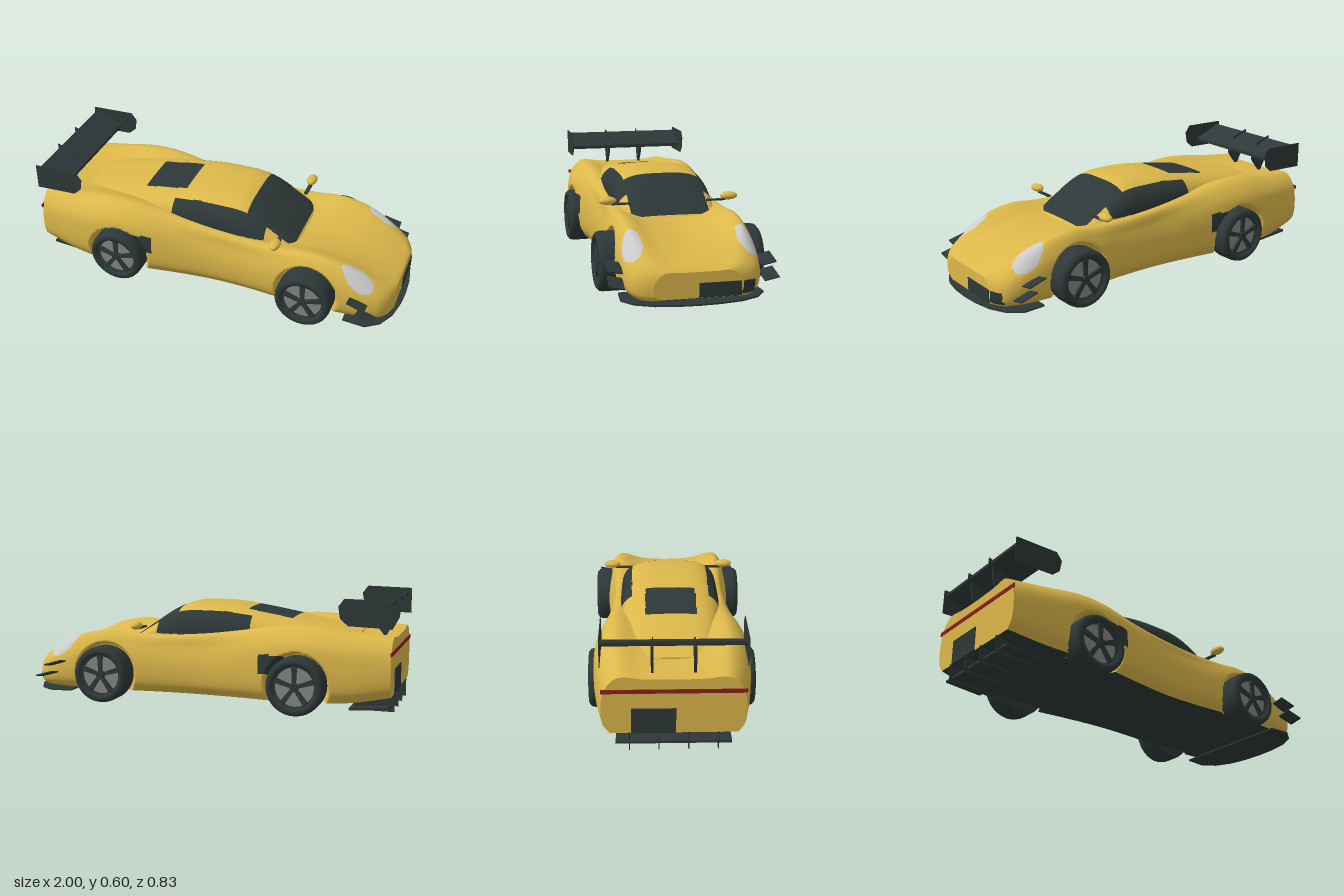
import * as THREE from 'three';

const mat = (name, color, side = THREE.FrontSide) => {
  const m = new THREE.MeshStandardMaterial({ color, side });
  m.name = name;
  return m;
};
const yellow = mat('yellow paint', 0xdcb84a);
const dark = mat('dark trim', 0x2e3838, THREE.DoubleSide);
const lamp = mat('lamp grey', 0xcccccc);
const metal = mat('wheel metal', 0x858585);
const red = mat('red lamp', 0x8c1f22);
const PAINTS = [yellow, dark, lamp];
const { lerp, smoothstep } = THREE.MathUtils;

const AXLES = [-0.525, 0.535], HUB_Y = 0.152;

function mesh(parent, name, geometry, material, x = 0, y = 0, z = 0) {
  const m = new THREE.Mesh(geometry, material);
  m.name = name;
  m.position.set(x, y, z);
  parent.add(m);
  return m;
}

// Thin plate drawn in side view (x, y) and centred on z
function plate(parent, name, pts, z, depth, material) {
  const shape = new THREE.Shape(pts.map(p => new THREE.Vector2(...p)));
  const g = new THREE.ExtrudeGeometry(shape, { depth, bevelEnabled: false });
  return mesh(parent, name, g, material, 0, 0, z - depth / 2);
}

// Smooth table lookup: the first column is x
function table(rows) {
  const size = rows[0].length - 1;
  const f = new THREE.CubicInterpolant(rows.map(r => r[0]), rows.flatMap(r => r.slice(1)), size, new Float32Array(size));
  return x => Array.from(f.evaluate(x));
}

// Skin over arches running from +z over the top to -z; paint() picks a colour per panel
function loft(rings, paint) {
  const n = rings[0].length, pos = rings.flat(2), buckets = PAINTS.map(() => []);
  for (let i = 0; i < rings.length - 1; i++) {
    for (let j = 0; j < n - 1; j++) {
      const a = i * n + j, b = a + n, c = b + 1, d = a + 1;
      const [x, y, z] = [0, 1, 2].map(k => (pos[a * 3 + k] + pos[b * 3 + k] + pos[c * 3 + k] + pos[d * 3 + k]) / 4);
      buckets[paint(x, y, z)].push(a, b, c, a, c, d);
    }
  }
  const g = new THREE.BufferGeometry();
  g.setAttribute('position', new THREE.Float32BufferAttribute(pos, 3));
  g.setIndex(buckets.flat());
  let start = 0;
  buckets.forEach((b, k) => { g.addGroup(start, b.length, k); start += b.length; });
  g.computeVertexNormals();
  return g;
}

// Flat end closing an arch
function cap(ring, front) {
  const ys = ring.map(p => p[1]);
  const c = [ring[0][0], (Math.min(...ys) + Math.max(...ys)) / 2, 0];
  const pos = [];
  ring.forEach((p, j) => {
    const q = ring[(j + 1) % ring.length];
    pos.push(...c, ...(front ? q : p), ...(front ? p : q));
  });
  const g = new THREE.BufferGeometry();
  g.setAttribute('position', new THREE.Float32BufferAttribute(pos, 3));
  g.computeVertexNormals();
  return g;
}

const stations = (a, b, step) => {
  const n = Math.round((b - a) / step);
  return Array.from({ length: n + 1 }, (_, i) => a + (b - a) * i / n);
};

// x, floor y, half width, fender peak z, fender peak y, centre y
const bodyAt = table([
  [-0.995, 0.11, 0.34, 0.26, 0.4, 0.39], [-0.8, 0.078, 0.372, 0.275, 0.42, 0.395],
  [-0.6, 0.068, 0.39, 0.285, 0.447, 0.4], [-0.45, 0.064, 0.382, 0.285, 0.447, 0.4],
  [-0.2, 0.062, 0.348, 0.285, 0.402, 0.39], [0, 0.06, 0.328, 0.285, 0.376, 0.36],
  [0.2, 0.06, 0.33, 0.285, 0.362, 0.34], [0.4, 0.06, 0.345, 0.285, 0.364, 0.325],
  [0.55, 0.06, 0.352, 0.285, 0.375, 0.315], [0.7, 0.06, 0.347, 0.28, 0.347, 0.292],
  [0.8, 0.06, 0.338, 0.265, 0.302, 0.264], [0.88, 0.061, 0.322, 0.24, 0.254, 0.236],
  [0.93, 0.062, 0.295, 0.215, 0.224, 0.216], [0.96, 0.065, 0.25, 0.18, 0.205, 0.203],
  [0.972, 0.07, 0.215, 0.16, 0.195, 0.195],
]);

function bodyRing(x) {
  const [yb, w, fz, fy, cy] = bodyAt(x);
  const half = [[w - 0.04, yb], [w - 0.008, yb + (fy - yb) * 0.16], [w, lerp(yb, fy, 0.5)],
    [w - 0.02, lerp(yb, fy, 0.8)], [fz, fy], [fz * 0.55, lerp(fy, cy, 0.65)]];
  const pts = [...half, [0, cy], ...half.slice().reverse().map(([z, y]) => [-z, y])];
  const curve = new THREE.CatmullRomCurve3(pts.map(([z, y]) => new THREE.Vector3(0, y, z)));
  return curve.getPoints(144).map(p => {
    // Sink the flanks into wheel arches
    let z = p.z;
    for (const ax of AXLES) {
      const k = 1 - smoothstep(Math.hypot(x - ax, p.y - HUB_Y), 0.155, 0.172);
      z = lerp(z, Math.sign(z) * Math.min(Math.abs(z), 0.29), k);
    }
    return [x, p.y, z];
  });
}

function bodyPaint(x, y, z) {
  const az = Math.abs(z);
  if (y > 0.2 && ((x - 0.79) / 0.085) ** 2 + ((az - 0.278) / 0.048) ** 2 < 1) return 2;
  if (x > -0.45 && x < -0.33 && y > 0.2 && y < 0.305) return 1;
  if (x > 0.88 && z < -0.21 && z > -0.28 && y > 0.075 && y < 0.14) return 1;
  return 0;
}

// x, half width, base y, roof y
const cabinAt = table([
  [-0.8, 0.17, 0.37, 0.402], [-0.6, 0.215, 0.37, 0.44], [-0.4, 0.245, 0.37, 0.478],
  [-0.2, 0.26, 0.365, 0.511], [-0.1, 0.262, 0.36, 0.524], [0, 0.262, 0.355, 0.528],
  [0.13, 0.26, 0.35, 0.521], [0.2, 0.258, 0.345, 0.495], [0.3, 0.25, 0.335, 0.429],
  [0.4, 0.235, 0.315, 0.357], [0.435, 0.22, 0.305, 0.328],
]);

function cabinRing(x) {
  const [w, yb, yt] = cabinAt(x);
  return Array.from({ length: 121 }, (_, j) => {
    const a = Math.PI * j / 120, c = Math.cos(a);
    return [x, yb + (yt - yb) * Math.abs(Math.sin(a)) ** 0.75, w * Math.sign(c) * Math.abs(c) ** 0.6];
  });
}

function cabinPaint(x, y, z) {
  const az = Math.abs(z);
  if (x > 0.16 && x < 0.42 && az < 0.205) return 1;
  if (x > -0.25 && x < 0.27 && az > 0.2 && y > 0.37 && y < 0.495) return 1;
  if (x > -0.45 && x < -0.21 && az < 0.13) return 1;
  return 0;
}

function makeWheel() {
  const wheel = new THREE.Group();
  const profile = [[0, -0.05], [0.1, -0.058], [0.132, -0.07], [0.146, -0.058], [0.15, -0.04], [0.15, 0.04],
    [0.146, 0.058], [0.132, 0.07], [0.112, 0.068], [0.104, 0.04], [0, 0.04]];
  const lathe = new THREE.LatheGeometry(profile.map(p => new THREE.Vector2(...p)), 48).rotateX(Math.PI / 2);
  mesh(wheel, 'tyre', lathe, dark);
  mesh(wheel, 'wheelDisc', new THREE.CircleGeometry(0.1, 40), metal, 0, 0, 0.043);
  mesh(wheel, 'hub', new THREE.CylinderGeometry(0.02, 0.024, 0.02, 20).rotateX(Math.PI / 2), dark, 0, 0, 0.054);
  for (let k = 0; k < 5; k++) {
    const spoke = plate(wheel, 'spoke', [[-0.008, 0], [0.008, 0], [0.014, 0.106], [-0.014, 0.106]], 0.052, 0.014, dark);
    spoke.rotation.z = k * Math.PI * 2 / 5;
  }
  return wheel;
}

export function createModel() {
  const car = new THREE.Group();
  car.name = 'racingCar';

  // Body, floor and end faces
  const rings = stations(-0.995, 0.972, 0.01).map(bodyRing);
  mesh(car, 'body', loft(rings, bodyPaint), PAINTS);
  const floor = rings.map(r => [r[r.length - 1], r[0]]);
  mesh(car, 'floor', loft(floor, () => 1), PAINTS);
  mesh(car, 'noseFace', cap(rings[rings.length - 1], true), yellow);
  mesh(car, 'tailFace', cap(rings[0], false), yellow);

  // Cabin with windows and roof vent
  const cabin = stations(-0.8, 0.43, 0.01).map(cabinRing);
  mesh(car, 'cabin', loft(cabin, cabinPaint), PAINTS);
  mesh(car, 'cabinTail', cap(cabin[0], false), yellow);

  // Painted panels on nose and tail
  mesh(car, 'nosePanel', new THREE.BoxGeometry(0.006, 0.07, 0.205), dark, 0.973, 0.107, -0.1025);
  mesh(car, 'tailStripe', new THREE.BoxGeometry(0.006, 0.02, 0.68), red, -0.996, 0.33, 0);
  mesh(car, 'tailPanel', new THREE.BoxGeometry(0.006, 0.13, 0.21), dark, -0.996, 0.175, -0.095);

  // Front splitter
  const edge = [[0.74, 0.34], [0.86, 0.35], [0.93, 0.3], [0.975, 0.21], [0.995, 0.1], [1, 0]];
  const outline = [...edge, ...edge.slice(0, -1).reverse().map(([x, z]) => [x, -z])];
  const splitter = new THREE.ExtrudeGeometry(new THREE.Shape(outline.map(p => new THREE.Vector2(...p))),
    { depth: 0.008, bevelEnabled: false }).rotateX(Math.PI / 2);
  mesh(car, 'splitter', splitter, dark, 0, 0.049, 0);

  // Rear diffuser
  mesh(car, 'diffuserPlate', new THREE.BoxGeometry(0.2, 0.012, 0.55), dark, -0.88, 0.04, 0).rotation.z = -0.08;
  for (const z of [-0.21, -0.07, 0.07, 0.21])
    plate(car, 'diffuserFin', [[-1, 0.115], [-1, 0.02], [-0.78, 0.02], [-0.8, 0.08]], z, 0.005, dark);

  // Rear wing
  plate(car, 'wing', [[-0.83, 0.515], [-0.985, 0.578], [-0.985, 0.562], [-0.9, 0.515], [-0.83, 0.497]], 0, 0.68, dark);
  for (const s of [-1, 1]) {
    plate(car, 'wingEndPlate', [[-1, 0.595], [-0.76, 0.6], [-0.73, 0.56], [-0.74, 0.5], [-0.78, 0.465], [-1, 0.458]],
      s * 0.34, 0.003, dark);
    plate(car, 'wingStrut', [[-0.98, 0.54], [-0.97, 0.46], [-0.93, 0.385], [-0.87, 0.46], [-0.86, 0.52]], s * 0.1, 0.012, dark);
    plate(car, 'wingTab', [[-1, 0.59], [-1, 0.55], [-0.9, 0.535], [-0.9, 0.56]], s * 0.097, 0.006, dark);

    // Mirrors
    const mirror = mesh(car, 'mirror', new THREE.SphereGeometry(1, 24, 16), yellow, 0.355, 0.416, s * 0.32);
    mirror.scale.set(0.028, 0.021, 0.046);
    mesh(car, 'mirrorStalk', new THREE.BoxGeometry(0.02, 0.008, 0.1), dark, 0.355, 0.397, s * 0.25);

    // Nose winglets
    for (const [x, y] of [[0.815, 0.197], [0.865, 0.135]])
      mesh(car, 'winglet', new THREE.BoxGeometry(0.1, 0.006, 0.075), dark, x, y, s * 0.372).rotation.set(-s * 0.2, 0, -0.28);

    // Wheels
    for (const x of AXLES) {
      const wheel = makeWheel();
      wheel.name = x > 0 ? 'frontWheel' : 'rearWheel';
      wheel.position.set(x, HUB_Y, s * 0.346);
      wheel.rotation.y = s > 0 ? 0 : Math.PI;
      car.add(wheel);
    }
  }
  return car;
}
